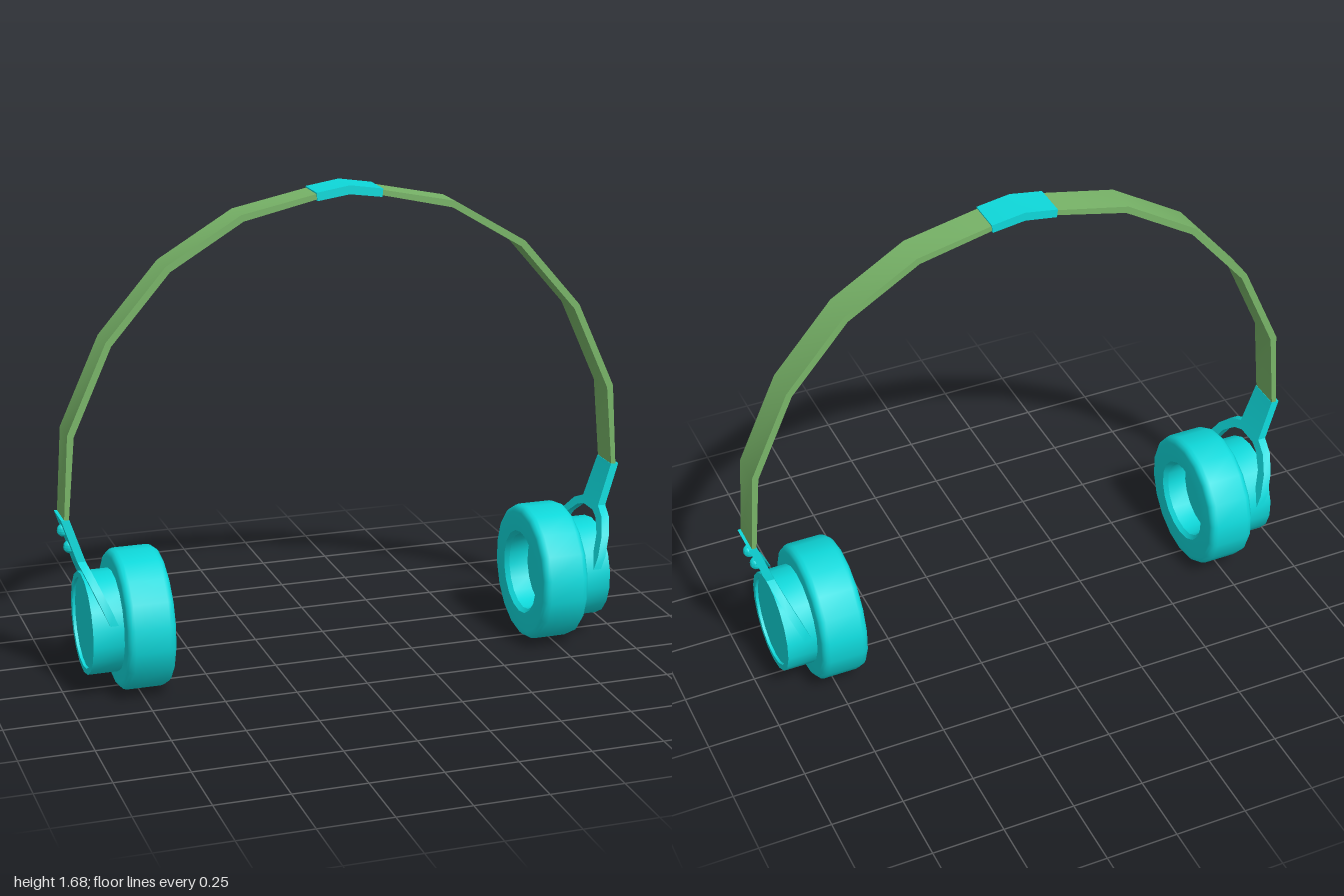
import * as THREE from 'three';
import { toCreasedNormals } from 'three/addons/utils/BufferGeometryUtils.js';

const cyan = new THREE.MeshStandardMaterial({ color: 0x0ed8da });
const green = new THREE.MeshStandardMaterial({ color: 0x78b468 });

function part(name, geometry, material) {
  const mesh = new THREE.Mesh(toCreasedNormals(geometry, 0.65), material);
  mesh.name = name;
  return mesh;
}

// Closed strip, symmetric in x, from the right half of its outer and inner lines (bottom to top)
function arch(outer, inner, width) {
  const mirror = (pts) => [...pts, ...pts.slice(0, -1).reverse().map(([x, y]) => [-x, y])];
  const outline = [...mirror(outer), ...mirror(inner).reverse()];
  const shape = new THREE.Shape(outline.map(([x, y]) => new THREE.Vector2(x, y)));
  return new THREE.ExtrudeGeometry(shape, { depth: width, bevelEnabled: false }).translate(0, 0, -width / 2);
}

// Quarter-round corner for a lathe profile
function corner(cx, cy, r, start, steps = 3) {
  return Array.from({ length: steps + 1 }, (_, i) => {
    const a = start + (i / steps) * Math.PI / 2;
    return [cx + r * Math.cos(a), cy + r * Math.sin(a)];
  });
}

function turned(profile) {
  const pts = profile.map(([r, x]) => new THREE.Vector2(r, x));
  return new THREE.LatheGeometry(pts, 18, Math.PI / 2).rotateZ(-Math.PI / 2).translate(0, 0.245, 0);
}

// Inner x of the bracket at a height: it leans in, more so below the neck
function lean(y) {
  return y > 0.48 ? 0.918 + (y - 0.48) * 0.327 : 0.918 + (y - 0.48) * 0.405;
}

function bracketGeometry() {
  const half = [
    [0.058, 0.632], [0.065, 0.485], [0.12, 0.46], [0.17, 0.41], [0.203, 0.345], [0.208, 0.302],
    [0.158, 0.352], [0.13, 0.405], [0.08, 0.447], [0.04, 0.462],
  ];
  const outline = [...half, ...half.slice().reverse().map(([z, y]) => [-z, y])];
  const shape = new THREE.Shape(outline.map(([z, y]) => new THREE.Vector2(z, y)));
  const geo = new THREE.ExtrudeGeometry(shape, { depth: 0.028, bevelEnabled: false }).rotateY(Math.PI / 2);
  const p = geo.attributes.position;
  for (let i = 0; i < p.count; i++) p.setX(i, p.getX(i) + lean(p.getY(i)));
  geo.computeVertexNormals();
  return geo;
}

function earpiece(name) {
  const g = new THREE.Group();
  g.name = name;
  // Ring cushion with a recessed middle
  g.add(part('cushion', turned([
    [0, 0.74], [0.135, 0.74], [0.135, 0.67], [0.148, 0.655],
    ...corner(0.216, 0.679, 0.024, -Math.PI / 2),
    ...corner(0.216, 0.796, 0.024, 0),
    [0.15, 0.82],
  ]), cyan));
  // Outer housing with a raised rim
  g.add(part('housing', turned([
    [0.175, 0.81], [0.175, 0.925], [0.155, 0.925], [0.155, 0.915], [0, 0.915],
  ]), cyan));
  // Forked bracket and its two rivets
  g.add(part('bracket', bracketGeometry(), cyan));
  for (const y of [0.58, 0.52]) {
    const rivet = part('rivet', new THREE.SphereGeometry(0.022, 12, 8), cyan);
    rivet.position.set(lean(y) + 0.027, y, 0);
    g.add(rivet);
  }
  return g;
}

export function createModel() {
  const model = new THREE.Group();
  model.name = 'headphones';

  // Faceted headband
  model.add(part('headband', arch(
    [[0.986, 0.62], [0.966, 0.92], [0.83, 1.22], [0.625, 1.457], [0.37, 1.61], [0.11, 1.664], [0, 1.68]],
    [[0.97, 0.62], [0.944, 0.913], [0.812, 1.206], [0.611, 1.438], [0.362, 1.588], [0.108, 1.646], [0, 1.662]],
    0.114), green));

  // Pad on top of the band
  model.add(part('topPad', arch(
    [[0.115, 1.668], [0, 1.686]],
    [[0.112, 1.64], [0, 1.656]],
    0.122), cyan));

  // The earpieces are symmetric front to back, so a half turn mirrors them
  const right = earpiece('rightEarpiece');
  right.rotation.y = Math.PI;
  model.add(earpiece('leftEarpiece'), right);
  return model;
}
